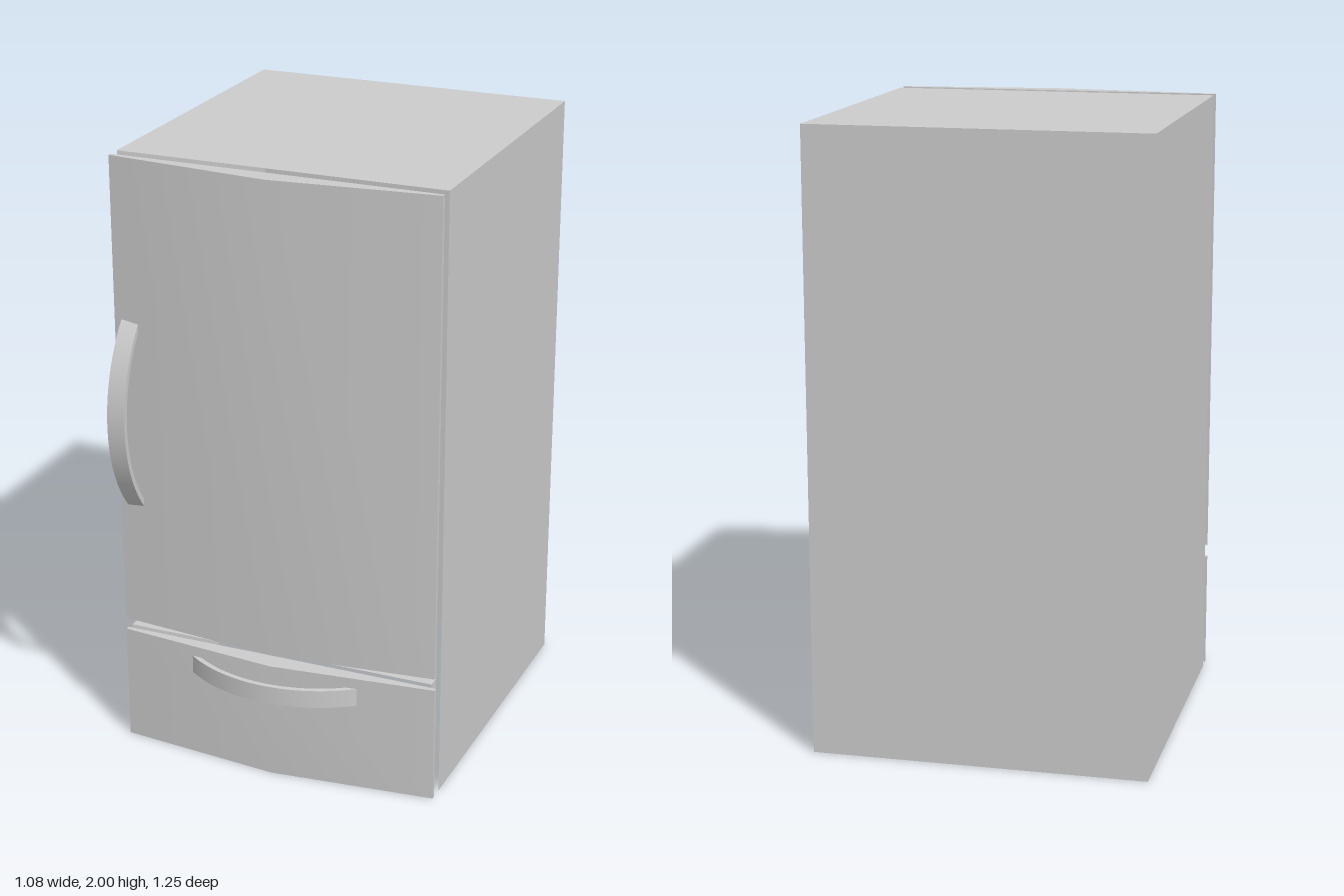
import * as THREE from 'three';
import { toCreasedNormals } from 'three/addons/utils/BufferGeometryUtils.js';

const material = new THREE.MeshStandardMaterial({ color: 0xcccccc, side: THREE.DoubleSide });

function addMesh(group, name, geometry) {
  const mesh = new THREE.Mesh(geometry, material);
  mesh.name = name;
  group.add(mesh);
  return mesh;
}

// Removes the flat faces that point along any of the given directions.
function openSides(geometry, directions) {
  const source = geometry.index ? geometry.toNonIndexed() : geometry;
  const p = source.attributes.position;
  const kept = [];
  const tri = new THREE.Triangle();
  const n = new THREE.Vector3();
  for (let i = 0; i < p.count; i += 3) {
    tri.setFromAttributeAndIndices(p, i, i + 1, i + 2);
    tri.getNormal(n);
    if (directions.some((d) => n.dot(d) > 0.999)) continue;
    for (const v of [tri.a, tri.b, tri.c]) kept.push(v.x, v.y, v.z);
  }
  const result = new THREE.BufferGeometry();
  result.setAttribute('position', new THREE.Float32BufferAttribute(kept, 3));
  return toCreasedNormals(result, 0.5);
}

const FRONT = new THREE.Vector3(0, 0, 1);
const BACK = new THREE.Vector3(0, 0, -1);
const DOWN = new THREE.Vector3(0, -1, 0);

// Hollow box between two corners
function openBox(x, y0, y1, z0, z1, directions) {
  const box = new THREE.BoxGeometry(2 * x, y1 - y0, z1 - z0);
  box.translate(0, (y0 + y1) / 2, (z0 + z1) / 2);
  return openSides(box, directions);
}

// Extrudes a plan shape (x, z) upwards from y0 to y1
function extrudeUp(shape, y0, y1) {
  const geometry = new THREE.ExtrudeGeometry(shape, { depth: y1 - y0, bevelEnabled: false, curveSegments: 24 });
  geometry.rotateX(Math.PI / 2);
  geometry.translate(0, y1, 0);
  return geometry;
}

// Bowed panel with an open back
function bowedPanel(y0, y1) {
  const outline = [[-0.54, 0.49], [0.54, 0.49], [0.54, 0.504], [0, 0.558], [-0.54, 0.504]];
  const shape = new THREE.Shape(outline.map(([x, z]) => new THREE.Vector2(x, z)));
  return openSides(extrudeUp(shape, y0, y1), [BACK]);
}

// Flat curved bar, centred on y = 0
function handleBar() {
  const centre = 0.145, spread = 0.73;
  const shape = new THREE.Shape();
  shape.absarc(0, centre, 0.48, Math.PI / 2 - spread, Math.PI / 2 + spread, false);
  shape.absarc(0, centre, 0.463, Math.PI / 2 + spread, Math.PI / 2 - spread, true);
  shape.closePath();
  return toCreasedNormals(extrudeUp(shape, -0.03, 0.03), 0.5);
}

export function createModel() {
  const model = new THREE.Group();
  model.name = 'refrigerator';

  // Cabinet shell, open at the front and underneath
  addMesh(model, 'cabinet', openBox(0.54, 0, 2, -0.63, 0.45, [FRONT, DOWN]));

  // Main door
  const door = new THREE.Group();
  door.name = 'mainDoor';
  addMesh(door, 'doorPanel', bowedPanel(0.43, 2));
  addMesh(door, 'doorSeal', openBox(0.525, 0.44, 1.985, 0.45, 0.49, [FRONT, BACK]));
  const doorHandle = addMesh(door, 'doorHandle', handleBar());
  doorHandle.rotation.z = Math.PI / 2;
  doorHandle.position.set(-0.485, 1.16, 0);
  model.add(door);

  // Lower drawer
  const drawer = new THREE.Group();
  drawer.name = 'freezerDrawer';
  addMesh(drawer, 'drawerPanel', bowedPanel(0, 0.39));
  addMesh(drawer, 'drawerSeal', openBox(0.525, 0.015, 0.402, 0.45, 0.49, [FRONT, BACK]));
  addMesh(drawer, 'drawerHandle', handleBar()).position.y = 0.325;
  model.add(drawer);

  return model;
}
